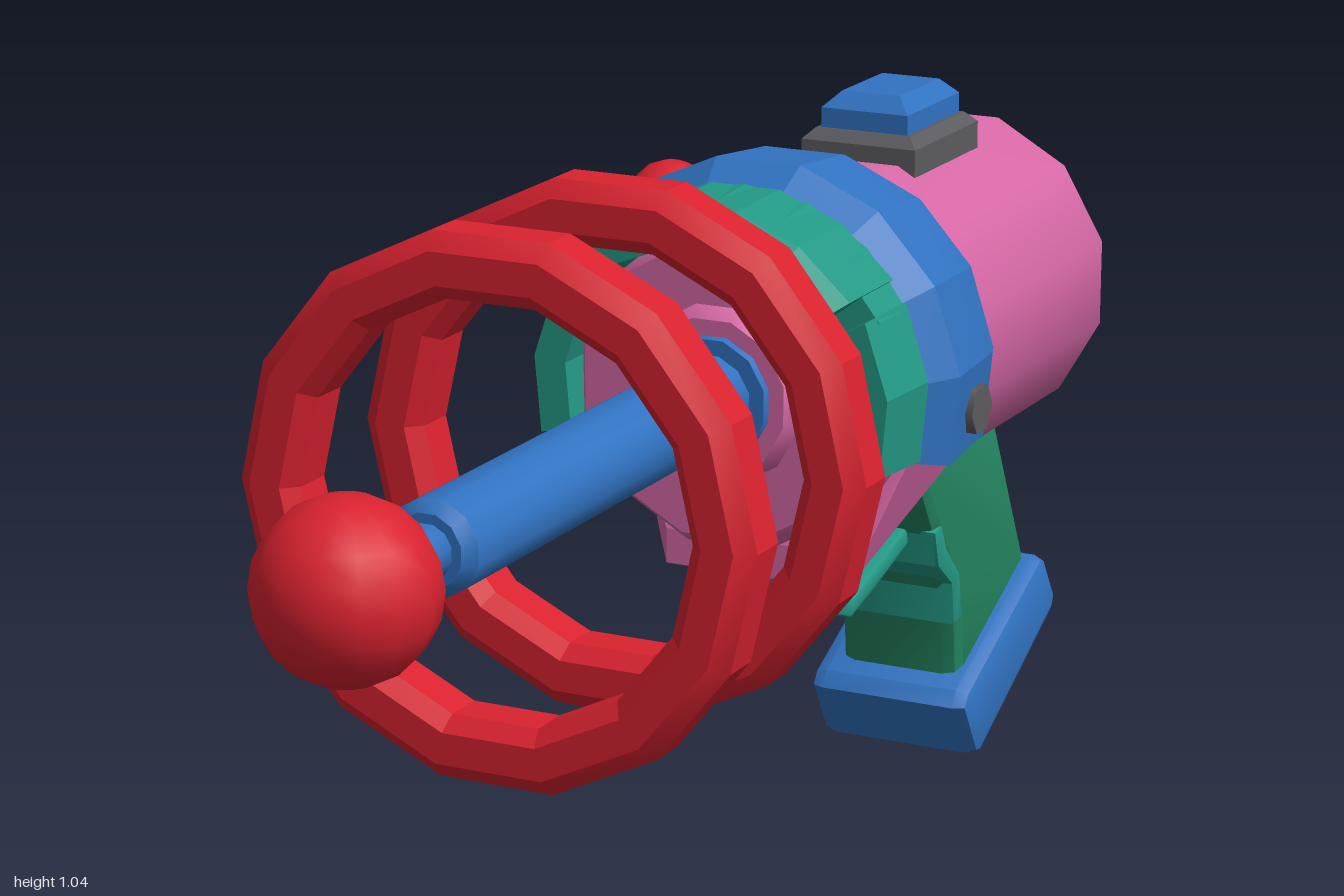
import * as THREE from 'three';
import { mergeGeometries, toCreasedNormals } from 'three/addons/utils/BufferGeometryUtils.js';
import { ConvexGeometry } from 'three/addons/geometries/ConvexGeometry.js';

const material = (name, color) => {
  const m = new THREE.MeshStandardMaterial({ color });
  m.name = name;
  return m;
};

const AXIS_Y = 0.698;
const rad = THREE.MathUtils.degToRad;
const vec2 = (points) => points.map(([a, b]) => new THREE.Vector2(a, b));

// Solid turned around the barrel axis; profile is [radius, z] from back to front.
function turned(profile, sides, crease = 0.6) {
  const g = new THREE.LatheGeometry(vec2(profile), sides, Math.PI / sides);
  g.rotateX(Math.PI / 2).translate(0, AXIS_Y, 0);
  return toCreasedNormals(g, crease);
}

// Part of a turned ring between two angles (0 = +x, 90 = up), with closed ends.
function arc(profile, from, to, sides) {
  const start = rad(from + 90), sweep = rad(to - from);
  const loop = vec2([...profile, profile[0]]);
  const parts = [new THREE.LatheGeometry(loop, sides, start, sweep)];
  [start, start + sweep].forEach((phi, end) => {
    const cap = new THREE.ShapeGeometry(new THREE.Shape(vec2(profile)));
    if (end) cap.index.array.reverse();
    parts.push(cap.rotateY(phi - Math.PI / 2));
  });
  const g = mergeGeometries(parts);
  g.rotateX(Math.PI / 2).translate(0, AXIS_Y, 0);
  return toCreasedNormals(g, 0.3);
}

// Side outline of [z, y] points, extruded across x with bevelled edges.
function slab(outline, width, bevel) {
  const g = new THREE.ExtrudeGeometry(new THREE.Shape(vec2(outline)), {
    depth: width - 2 * bevel, bevelEnabled: bevel > 0, bevelThickness: bevel,
    bevelSize: bevel, bevelOffset: -bevel, bevelSegments: 2,
  });
  g.translate(0, 0, bevel - width / 2).rotateY(-Math.PI / 2);
  return toCreasedNormals(g, 0.6);
}

// Block tapering upwards from a bottom rectangle to a top one.
function taperedBlock(y0, y1, halfX, halfZ, inset, z) {
  const p = [];
  for (const sx of [-1, 1]) for (const sz of [-1, 1]) {
    p.push(new THREE.Vector3(sx * halfX, y0, z + sz * halfZ));
    p.push(new THREE.Vector3(sx * halfX, y1 - inset, z + sz * halfZ));
    p.push(new THREE.Vector3(sx * (halfX - inset), y1, z + sz * (halfZ - inset)));
  }
  return new ConvexGeometry(p);
}

export function createModel() {
  const pink = material('pink', 0xd668a6);
  const blue = material('blue', 0x3173c2);
  const red = material('red', 0xd9222f);
  const teal = material('teal', 0x239885);
  const green = material('green', 0x23835f);
  const grey = material('grey', 0x5c5c60);
  const darkGrey = material('dark grey', 0x404044);
  const gold = material('gold', 0xc8922f);
  const crimson = material('crimson', 0xb23a60);

  const model = new THREE.Group();
  const gun = new THREE.Group();
  gun.name = 'rayGun';
  gun.position.x = 0.035;
  model.add(gun);
  const add = (name, geometry, mat, parent = gun) => {
    const mesh = new THREE.Mesh(geometry, mat);
    mesh.name = name;
    parent.add(mesh);
    return mesh;
  };

  // Main body and rear button
  add('body', turned([[0, -0.895], [0.218, -0.895], [0.236, -0.877], [0.236, -0.36], [0.226, -0.11],
    [0.206, -0.08], [0.125, -0.08], [0.11, -0.06], [0, -0.06]], 12), pink);
  add('rearCap', turned([[0, -0.975], [0.125, -0.975], [0.135, -0.96], [0.16, -0.95],
    [0.16, -0.9], [0.15, -0.88], [0, -0.88]], 12), red);
  add('rearButton', turned([[0, -0.995], [0.082, -0.995], [0.095, -0.98], [0.095, -0.96], [0, -0.96]], 12), crimson);

  // Keel under the body, tapering towards the grip
  const keel = [];
  for (const s of [-1, 1]) {
    [[0.137, 0.41, -0.2], [0.137, 0.46, -0.2], [0.21, 0.6, -0.25],
      [0.1, 0.47, -0.6], [0.17, 0.56, -0.6]].forEach(([x, y, z]) => keel.push(new THREE.Vector3(s * x, y, z)));
  }
  add('keel', new ConvexGeometry(keel), pink);

  // Collars wrapped over the front of the body
  add('collar', arc([[0.22, -0.37], [0.275, -0.37], [0.285, -0.345], [0.3, -0.2], [0.265, -0.152], [0.22, -0.152]],
    -18, 198, 9), blue);
  add('visor', arc([[0.215, -0.16], [0.272, -0.16], [0.268, -0.03], [0.255, 0], [0.215, 0]], 37, 143, 5), teal);
  for (const [from, to] of [[-17, 30], [150, 197]]) {
    add('cheekGuard', arc([[0.215, -0.16], [0.272, -0.16], [0.262, -0.05], [0.215, -0.05]], from, to, 2), teal);
  }
  add('visorBridge', arc([[0.217, -0.16], [0.27, -0.16], [0.265, -0.08], [0.217, -0.08]], 28, 152, 6), teal);
  for (const s of [-1, 1]) {
    const bolt = add('collarBolt', new THREE.CylinderGeometry(0.035, 0.035, 0.04, 6), grey);
    bolt.rotation.z = Math.PI / 2;
    bolt.position.set(s * 0.277, 0.665, -0.28);
  }

  // Barrel, rings and bulb
  add('barrelFlange', turned([[0, -0.08], [0.092, -0.08], [0.085, -0.05], [0, -0.05]], 12), blue);
  add('barrel', turned([[0, -0.06], [0.063, -0.06], [0.063, 0.685], [0.048, 0.7],
    [0.035, 0.7], [0.035, 0.8], [0, 0.8]], 12), blue);
  for (const z of [0.2, 0.51]) {
    const section = [[0.272, -0.028], [0.292, -0.048], [0.335, -0.048], [0.358, -0.028],
      [0.358, 0.028], [0.335, 0.048], [0.292, 0.048], [0.272, 0.028], [0.272, -0.028]];
    add('barrelRing', turned(section.map(([r, dz]) => [r, z + dz]), 14, 0.3), red);
  }
  const bulb = add('bulb', new THREE.SphereGeometry(0.115, 14, 10), red);
  bulb.position.set(0, 0.703, 0.887);

  // Sight on top
  add('sightBase', taperedBlock(0.88, 0.965, 0.087, 0.11, 0.015, -0.63), grey);
  add('sightLens', taperedBlock(0.955, 1.015, 0.066, 0.09, 0.022, -0.63), blue);

  // Grip with butt and front strap
  add('grip', slab([[-0.52, 0.5], [-0.82, 0.5], [-0.97, 0.2], [-0.69, 0.09], [-0.675, 0.25], [-0.62, 0.33]], 0.19, 0.025), green);
  add('gripStrap', slab([[-0.595, 0.375], [-0.61, 0.32], [-0.66, 0.28], [-0.67, 0.215], [-0.7, 0.22],
    [-0.69, 0.29], [-0.64, 0.34], [-0.62, 0.385]], 0.192, 0.006), teal);
  add('butt', slab([[-0.645, 0.095], [-0.66, 0.118], [-0.93, 0.25], [-0.95, 0.245], [-0.995, 0.175],
    [-0.985, 0.15], [-0.715, 0.005], [-0.695, 0.01]], 0.258, 0.025), blue);

  // Trigger guard and trigger
  const guardPath = [[-0.29, 0.44], [-0.305, 0.38], [-0.345, 0.32], [-0.41, 0.295], [-0.49, 0.315], [-0.62, 0.355]];
  const guardInner = [[-0.62, 0.385], [-0.49, 0.342], [-0.415, 0.322], [-0.36, 0.345], [-0.33, 0.39], [-0.315, 0.44]];
  add('triggerGuard', slab([...guardPath, ...guardInner], 0.1, 0.006), teal);
  add('trigger', slab([[-0.4, 0.46], [-0.41, 0.43], [-0.445, 0.415], [-0.47, 0.385], [-0.49, 0.39],
    [-0.485, 0.43], [-0.48, 0.47]], 0.05, 0.008), blue);

  // Side panel with lever; local +x points outwards
  const panel = new THREE.Group();
  panel.name = 'leverPanel';
  panel.position.set(0, AXIS_Y, -0.64);
  panel.rotation.z = rad(165);
  gun.add(panel);
  const box = (name, mat, size, pos) => add(name, new THREE.BoxGeometry(...size), mat, panel).position.set(...pos);
  box('panelPlate', darkGrey, [0.06, 0.18, 0.43], [0.2, 0, 0]);
  for (const s of [-1, 1]) {
    box('panelRail', grey, [0.07, 0.022, 0.455], [0.205, s * 0.095, 0]);
    box('panelEnd', grey, [0.07, 0.19, 0.022], [0.205, 0, s * 0.2165]);
    for (let i = 0; i < 9; i++) {
      box('gaugeMark', gold, [0.006, 0.04, 0.018], [0.232, s * 0.052, (i - 4) * 0.036]);
    }
    for (const t of [-1, 1]) {
      const rivet = add('panelRivet', new THREE.CylinderGeometry(0.014, 0.014, 0.03, 6), grey, panel);
      rivet.rotation.z = Math.PI / 2;
      rivet.position.set(0.235, s * 0.08, t * 0.2);
    }
  }
  const rod = (name, mat, radius, from, to) => {
    const m = add(name, new THREE.CylinderGeometry(radius, radius, to - from, 8), mat, panel);
    m.rotation.z = Math.PI / 2;
    m.position.set((from + to) / 2, 0, -0.022);
  };
  rod('leverRod', grey, 0.015, 0.22, 0.34);
  rod('leverWasher', gold, 0.032, 0.285, 0.315);
  const knob = add('leverKnob', new THREE.SphereGeometry(0.067, 12, 8), red, panel);
  knob.position.set(0.378, 0, -0.022);

  return model;
}
